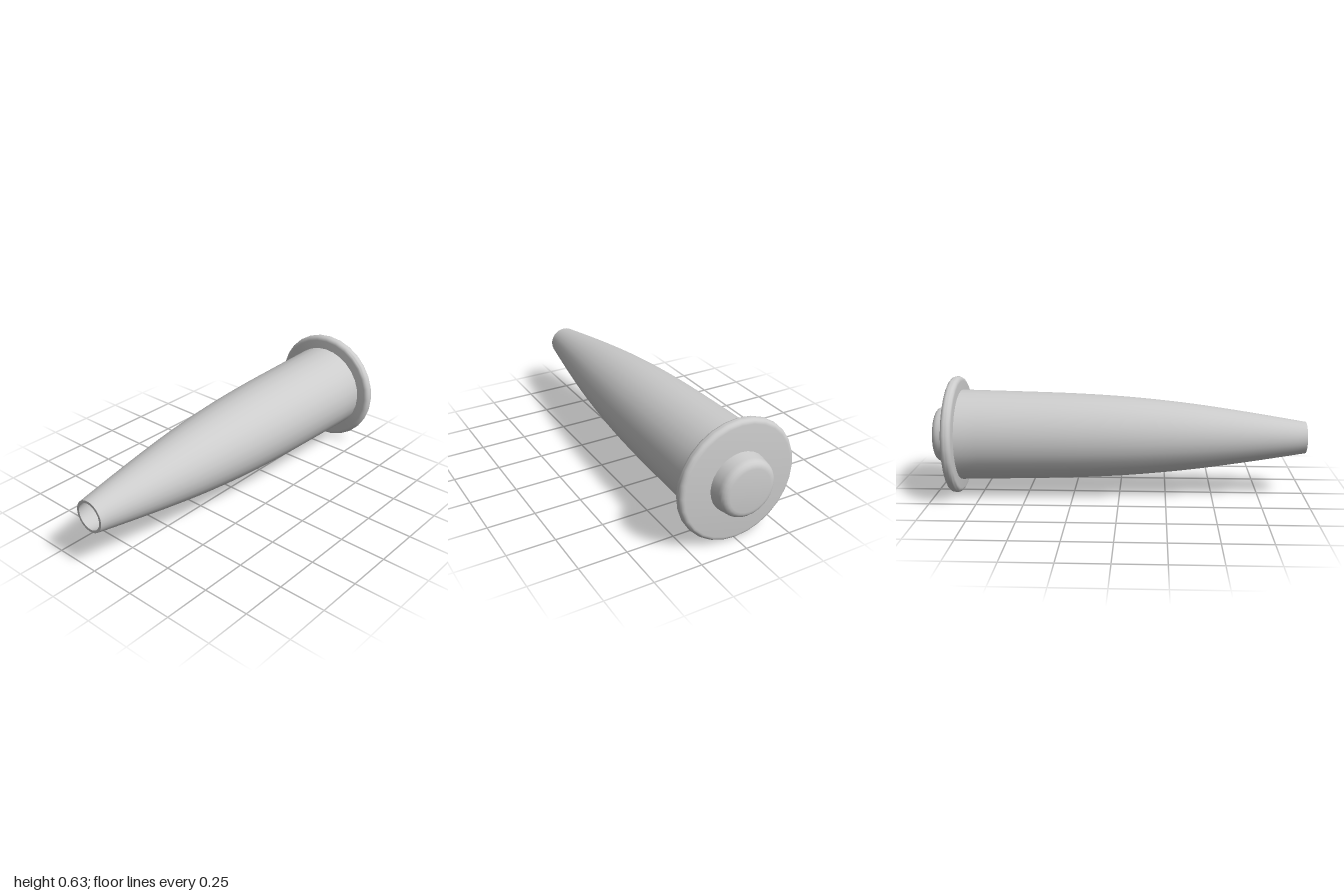
import * as THREE from 'three';
import { toCreasedNormals } from 'three/addons/utils/BufferGeometryUtils.js';

const SIDES = 28;
const RADIUS = 0.317;

// Turns a profile of [position along x, radius] pairs around the long axis
function turned(name, profile, material, crease = 0.7) {
  const points = profile.map(([x, r]) => new THREE.Vector2(r, x));
  const geometry = toCreasedNormals(new THREE.LatheGeometry(points, SIDES), crease);
  geometry.rotateZ(-Math.PI / 2);
  const mesh = new THREE.Mesh(geometry, material);
  mesh.name = name;
  return mesh;
}

// Quarter-round edge: centre (cx, cr), radius e, swept between two angles
function round(cx, cr, e, from, to, steps = 5) {
  return Array.from({ length: steps + 1 }, (_, i) => {
    const a = from + (to - from) * i / steps;
    return [cx + e * Math.cos(a), cr + e * Math.sin(a)];
  });
}

export function createModel() {
  const group = new THREE.Group();
  group.name = 'taperedPlug';
  const grey = new THREE.MeshStandardMaterial({ color: 0xcccccc, side: THREE.DoubleSide });

  // Bulging tapered sleeve, with a thin wall that runs back inside the open tip
  const curve = new THREE.SplineCurve([
    [-1, 0.085], [-0.8, 0.118], [-0.6, 0.149], [-0.4, 0.177], [-0.2, 0.199],
    [0, 0.216], [0.2, 0.227], [0.4, 0.234], [0.87, 0.245],
  ].map(([x, r]) => new THREE.Vector2(x, r)));
  const outside = curve.getPoints(24).map((p) => [p.x, p.y]);
  const inside = outside.map(([x, r]) => [x, r - 0.014]).reverse();
  group.add(turned('sleeve', [...inside, ...outside], grey));

  // Flange disc with a rounded rim
  const e = 0.024;
  group.add(turned('flange', [
    [0.857, 0],
    ...round(0.857 + e, RADIUS - e, e, Math.PI, Math.PI / 2),
    ...round(0.912 - e, RADIUS - e, e, Math.PI / 2, 0),
    [0.912, 0],
  ], grey));

  // End knob, slightly drafted with a soft edge
  group.add(turned('endKnob', [
    [0.9, 0.16], [0.912, 0.158], [0.935, 0.154],
    ...round(0.962, 0.112, 0.038, Math.PI / 2, 0),
    [1, 0],
  ], grey));

  group.position.y = RADIUS;
  const model = new THREE.Group();
  model.add(group);
  return model;
}
